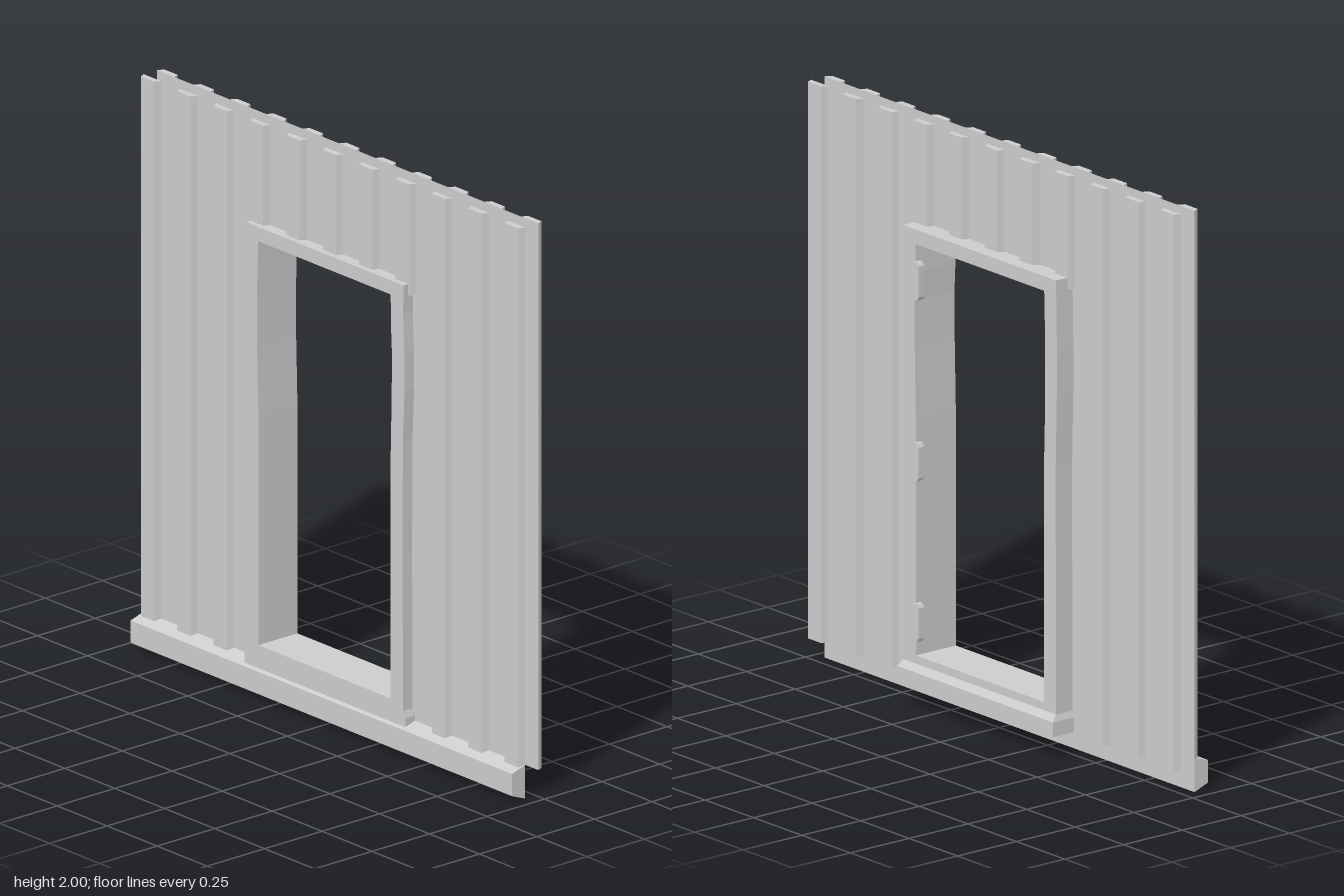
import * as THREE from 'three';

const grey = new THREE.MeshStandardMaterial({ color: 0xcccccc, side: THREE.DoubleSide, flatShading: true });
grey.name = 'grey metal';

const PITCH = 0.1822, HALF = 0.955, TOP = 2;

function add(parent, name, geometry) {
  const mesh = new THREE.Mesh(geometry, grey);
  mesh.name = name;
  parent.add(mesh);
  return mesh;
}

function polygon(points) {
  return new THREE.Shape(points.map(([x, y]) => new THREE.Vector2(x, y)));
}

function extrude(shape, depth) {
  return new THREE.ExtrudeGeometry(shape, { depth, bevelEnabled: false });
}

// Flat sheet notched around the doorway, with trapezoid ribs on its outer side
function ribbedSheet(name, z, side, bottom) {
  const sheet = new THREE.Group();
  sheet.name = name;
  const outline = polygon([
    [-HALF, bottom], [-0.37, bottom], [-0.37, 1.62], [0.37, 1.62],
    [0.37, bottom], [HALF, bottom], [HALF, TOP], [-HALF, TOP],
  ]);
  add(sheet, 'flatSheet', new THREE.ShapeGeometry(outline)).position.z = z;
  const section = polygon([[-0.044, 0], [0.044, 0], [0.033, -0.022 * side], [-0.033, -0.022 * side]]);
  for (let i = -5; i <= 5; i++) {
    const n = Math.abs(i);
    const start = n < 2 ? 1.64 : n === 2 ? 1.61 : bottom;
    const rib = add(sheet, 'rib', extrude(section, TOP - start));
    rib.rotation.x = -Math.PI / 2;
    rib.position.set(i * PITCH, start, z);
  }
  return sheet;
}

// Door surround with slightly dented jambs
function doorFrame() {
  const outline = polygon([
    [-0.395, 0.15], [0.392, 0.15], [0.389, 0.7], [0.391, 1.1], [0.399, 1.28], [0.398, 1.42],
    [0.392, 1.55], [0.395, 1.65], [-0.395, 1.65], [-0.4, 1.4], [-0.399, 1.25], [-0.393, 1.0],
  ]);
  outline.holes.push(polygon([
    [-0.333, 0.185], [-0.333, 1.0], [-0.339, 1.22], [-0.339, 1.42], [-0.334, 1.6],
    [0.33, 1.6], [0.331, 1.5], [0.336, 1.4], [0.335, 1.25], [0.329, 1.0], [0.329, 0.185],
  ]));
  return extrude(outline, 0.17).translate(0, 0, -0.083);
}

// Hollow sill: open rim below, tapered cap above
function doorSill() {
  const sill = new THREE.Group();
  sill.name = 'doorSill';
  const rim = polygon([[-0.403, -0.087], [0.403, -0.087], [0.403, 0.102], [-0.403, 0.102]]);
  rim.holes.push(polygon([[-0.385, -0.069], [-0.385, 0.084], [0.385, 0.084], [0.385, -0.069]]));
  const rimMesh = add(sill, 'sillRim', extrude(rim, 0.05));
  rimMesh.rotation.x = -Math.PI / 2;
  rimMesh.position.y = 0.085;

  const cap = new THREE.BoxGeometry(0.806, 0.022, 0.189).translate(0, 0.146, -0.0075);
  const p = cap.attributes.position;
  for (let i = 0; i < p.count; i++) {
    if (p.getY(i) > 0.146) {
      p.setX(i, p.getX(i) * 0.98);
      if (p.getZ(i) < 0) p.setZ(i, -0.083);
    }
  }
  cap.computeVertexNormals();
  add(sill, 'sillCap', cap);
  return sill;
}

export function createModel() {
  const model = new THREE.Group();
  model.name = 'corrugatedDoorWall';

  model.add(ribbedSheet('frontSheet', 0.045, 1, 0.105));
  model.add(ribbedSheet('backSheet', -0.013, -1, 0.085));
  add(model, 'doorFrame', doorFrame());
  model.add(doorSill());

  // Base rail with sloping top and underside, run along x
  const profile = polygon([[-0.102, 0.022], [-0.045, 0], [-0.045, 0.118], [-0.102, 0.1]]);
  const rail = add(model, 'baseRail', extrude(profile, HALF * 2));
  rail.rotation.y = Math.PI / 2;
  rail.position.x = -HALF;

  // Hinges on the back edge of the left jamb
  const hinge = polygon([
    [0.335, -0.065], [0.315, -0.065], [0.307, -0.053], [0.307, 0.053], [0.315, 0.065], [0.335, 0.065],
  ]);
  for (const y of [0.3, 0.853, 1.475]) {
    add(model, 'hinge', extrude(hinge, 0.025)).position.set(0, y, -0.09);
  }
  return model;
}
